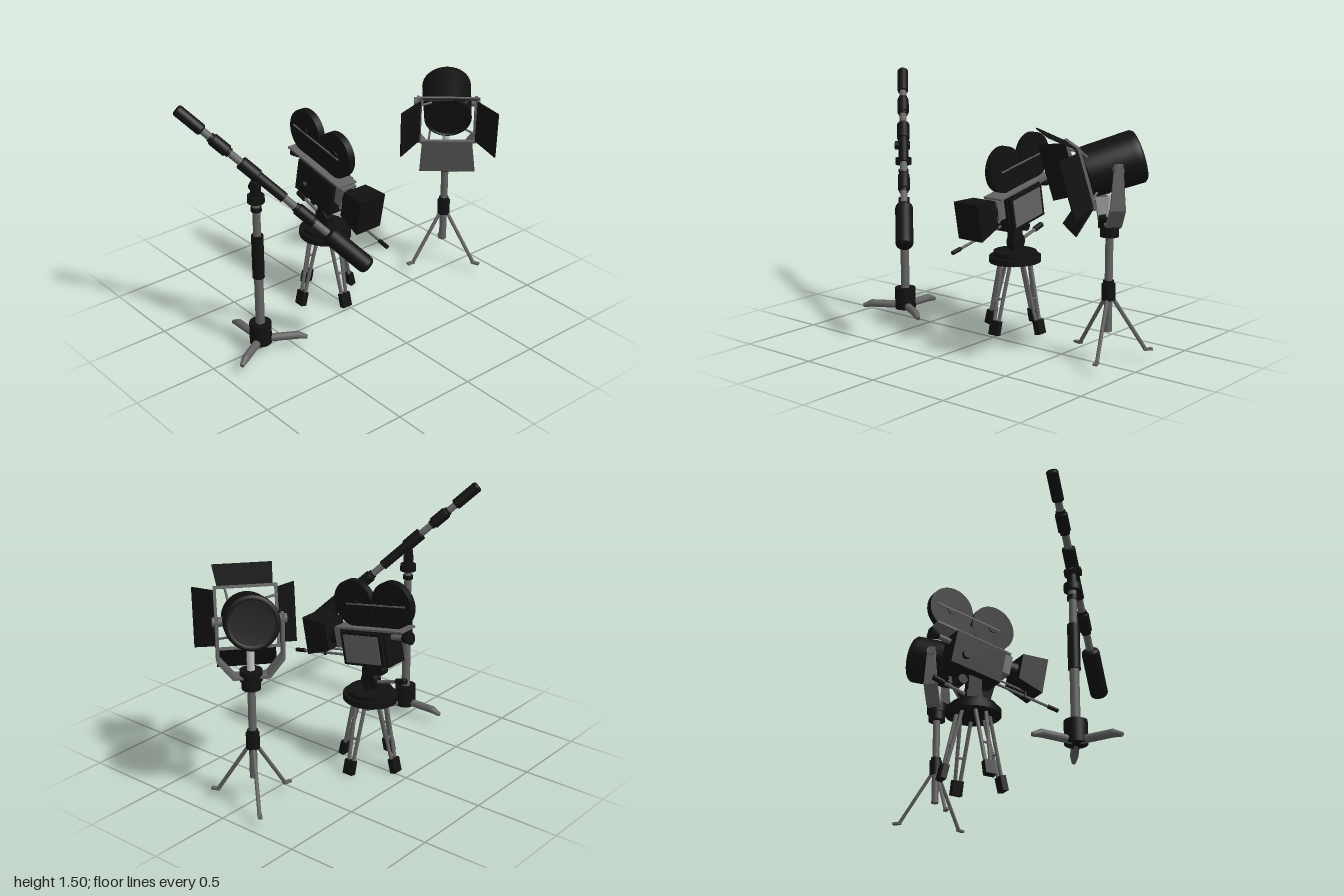
import * as THREE from 'three';

const mat = (name, color) => {
  const m = new THREE.MeshStandardMaterial({ color });
  m.name = name;
  return m;
};
const V = (x, y, z) => new THREE.Vector3(x, y, z);

export function createModel() {
  const black = mat('black', 0x111111);
  const grey = mat('grey', 0x626262);
  const pale = mat('paleMetal', 0xc4c4c4);

  const group = (parent, name, x = 0, y = 0, z = 0) => {
    const g = new THREE.Group();
    g.name = name;
    g.position.set(x, y, z);
    parent.add(g);
    return g;
  };
  const add = (parent, name, geo, m, x = 0, y = 0, z = 0) => {
    const mesh = new THREE.Mesh(geo, m);
    mesh.name = name;
    mesh.position.set(x, y, z);
    parent.add(mesh);
    return mesh;
  };
  const box = (parent, name, m, w, h, d, x, y, z) =>
    add(parent, name, new THREE.BoxGeometry(w, h, d), m, x, y, z);
  // Upright cylinder between two heights
  const post = (parent, name, m, r, y0, y1, x = 0, z = 0, r1 = r) =>
    add(parent, name, new THREE.CylinderGeometry(r1, r, y1 - y0, 28), m, x, (y0 + y1) / 2, z);
  // Cylinder from point a to point b
  const rod = (parent, name, m, a, b, r0, r1 = r0, sides = 20) => {
    const dir = b.clone().sub(a);
    const mid = a.clone().add(b).multiplyScalar(0.5);
    const mesh = add(parent, name, new THREE.CylinderGeometry(r1, r0, dir.length(), sides), m, mid.x, mid.y, mid.z);
    mesh.quaternion.setFromUnitVectors(V(0, 1, 0), dir.normalize());
    return mesh;
  };
  // Cylinder with softened ends from a to b
  const grip = (parent, name, m, a, b, r, soft) => {
    const dir = b.clone().sub(a), h = dir.length(), pts = [new THREE.Vector2(0, 0)];
    for (let i = 0; i <= 4; i++) {
      const t = (i / 4) * Math.PI / 2;
      pts.push(new THREE.Vector2(r - soft + soft * Math.sin(t), soft - soft * Math.cos(t)));
    }
    for (let i = 4; i >= 0; i--) pts.push(new THREE.Vector2(pts[i + 1].x, h - pts[i + 1].y));
    pts.push(new THREE.Vector2(0, h));
    const mesh = add(parent, name, new THREE.LatheGeometry(pts, 24), m, a.x, a.y, a.z);
    mesh.quaternion.setFromUnitVectors(V(0, 1, 0), dir.normalize());
    return mesh;
  };

  const model = new THREE.Group();
  model.name = 'filmSet';

  // ---- Boom microphone on its stand ----
  const mic = group(model, 'boomMicrophone', -0.685, 0, 0.022);
  post(mic, 'baseHub', black, 0.063, 0.06, 0.19);
  for (let i = 0; i < 3; i++) {
    const leg = group(mic, 'baseLeg');
    leg.rotation.y = Math.PI + i * Math.PI * 2 / 3;
    rod(leg, 'legTube', grey, V(0, 0.08, 0.03), V(0, 0.08, 0.21), 0.023);
    add(leg, 'legBend', new THREE.SphereGeometry(0.023, 16, 10), grey, 0, 0.08, 0.21);
    rod(leg, 'legTip', grey, V(0, 0.08, 0.21), V(0, 0.062, 0.265), 0.023, 0.012);
  }
  post(mic, 'lowerPole', grey, 0.026, 0.19, 0.49);
  post(mic, 'poleGrip', black, 0.034, 0.485, 0.75);
  post(mic, 'upperPole', grey, 0.022, 0.75, 0.96);
  post(mic, 'poleRing', black, 0.03, 0.9, 0.925);
  post(mic, 'poleHead', black, 0.048, 0.955, 0.995);
  post(mic, 'clampNeck', black, 0.03, 0.995, 1.05);
  post(mic, 'clampStem', grey, 0.02, 1.05, 1.12);
  rod(mic, 'clampKnob', black, V(-0.04, 1.07, 0.03), V(0.03, 1.07, -0.025), 0.026);

  const boom = group(model, 'boomArm');
  const top = V(-0.955, 1.465, -0.265), end = V(-0.27, 0.6, 0.46);
  const at = t => top.clone().lerp(end, t);
  rod(boom, 'boomTube', grey, at(0.03), at(0.85), 0.021);
  grip(boom, 'counterGrip', black, at(-0.015), at(0.12), 0.033, 0.012);
  for (const t of [0.17, 0.62]) {
    grip(boom, 'boomJoint', black, at(t), at(t + 0.08), 0.035, 0.006);
    rod(boom, 'jointCollar', black, at(t - 0.012), at(t + 0.092), 0.027);
  }
  rod(boom, 'clampSleeve', black, at(0.33), at(0.55), 0.029);
  grip(boom, 'clampCollar', black, at(0.32), at(0.41), 0.037, 0.006);
  grip(boom, 'microphone', black, at(0.785), at(1.01), 0.051, 0.025);

  // ---- Film camera tripod ----
  const tripod = group(model, 'cameraTripod', -0.015, 0, -0.22);
  post(tripod, 'lowerPlate', black, 0.15, 0.417, 0.452).scale.z = 1.08;
  post(tripod, 'upperPlate', black, 0.129, 0.45, 0.48);
  for (let i = 0; i < 4; i++) {
    const leg = group(tripod, 'tripodLeg');
    leg.rotation.y = i * Math.PI / 2;
    for (const s of [-1, 1])
      rod(leg, 'legRod', grey, V(s * 0.034, 0.43, 0.085), V(s * 0.015, 0.06, 0.177), 0.011, 0.011, 10);
    rod(leg, 'legBrace', grey, V(-0.023, 0.21, 0.14), V(0.023, 0.21, 0.14), 0.007, 0.007, 8);
    const foot = box(leg, 'foot', black, 0.064, 0.086, 0.036, 0, 0.045, 0.184);
    foot.rotation.x = -0.24;
  }
  post(tripod, 'headBase', black, 0.032, 0.475, 0.53);
  rod(tripod, 'tiltDrum', black, V(-0.028, 0.535, -0.005), V(0.028, 0.535, -0.005), 0.052, 0.052, 28);
  box(tripod, 'headNeck', black, 0.045, 0.1, 0.085, 0, 0.6, 0);
  rod(tripod, 'tiltKnob', black, V(-0.025, 0.617, -0.08), V(0.025, 0.617, -0.08), 0.028);
  rod(tripod, 'knobArm', black, V(0, 0.617, -0.03), V(0, 0.617, -0.08), 0.015);
  rod(tripod, 'panHandle', grey, V(0, 0.53, -0.03), V(0, 0.58, -0.2), 0.01);
  grip(tripod, 'panGrip', black, V(0, 0.576, -0.185), V(0, 0.597, -0.255), 0.017, 0.005);

  // ---- Film camera, pitched slightly down ----
  const cam = group(model, 'filmCamera', -0.015, 0.752, -0.227);
  cam.rotation.x = 0.19;
  box(cam, 'body', black, 0.145, 0.205, 0.32, -0.005, 0, 0);
  box(cam, 'sideDoor', black, 0.022, 0.195, 0.29, 0.077, 0, 0);
  box(cam, 'doorPanel', grey, 0.006, 0.165, 0.25, 0.089, 0, 0);
  box(cam, 'topPlate', grey, 0.13, 0.012, 0.48, 0, 0.11, -0.04);
  for (const z of [-0.2, 0.075]) {
    rod(cam, 'filmMagazine', black, V(-0.022, 0.249, z), V(0.022, 0.249, z), 0.136, 0.136, 48);
    rod(cam, 'magazineHub', black, V(-0.027, 0.249, z), V(0.027, 0.249, z), 0.03);
  }
  box(cam, 'magazineMount', black, 0.04, 0.1, 0.2, 0, 0.15, -0.06);
  for (const s of [-1, 1]) box(cam, 'magazineBar', grey, 0.006, 0.008, 0.42, s * 0.027, 0.247, -0.09);
  // Lens, matte box and support rods
  box(cam, 'lensMount', grey, 0.1, 0.12, 0.07, 0, 0.045, 0.185);
  rod(cam, 'lens', black, V(0, 0.045, 0.2), V(0, 0.05, 0.3), 0.048, 0.055, 28);
  const hood = new THREE.BoxGeometry(0.176, 0.225, 0.16);
  const hp = hood.attributes.position;
  for (let i = 0; i < hp.count; i++) if (hp.getZ(i) < 0) hp.setXY(i, hp.getX(i) * 0.92, hp.getY(i) * 0.72);
  hood.computeVertexNormals();
  add(cam, 'matteBox', hood, black, -0.005, 0.05, 0.345);
  rod(cam, 'supportRod', grey, V(0, -0.074, 0.1), V(0, -0.074, 0.54), 0.008, 0.008, 10);
  grip(cam, 'supportRodGrip', black, V(0, -0.074, 0.52), V(0, -0.074, 0.592), 0.012, 0.004);
  rod(cam, 'matteRod', grey, V(0, -0.045, 0.14), V(0, -0.045, 0.4), 0.006, 0.006, 10);
  box(cam, 'rodBracket', black, 0.025, 0.07, 0.012, 0, -0.05, 0.36);
  // Eyepiece and side knob
  rod(cam, 'eyepieceTube', grey, V(0, 0.059, -0.15), V(0, 0.059, -0.25), 0.016);
  rod(cam, 'eyepieceCup', black, V(0, 0.059, -0.235), V(0, 0.059, -0.292), 0.018, 0.036);
  rod(cam, 'sideKnob', black, V(-0.075, -0.03, -0.08), V(-0.1, -0.03, -0.08), 0.025);

  // ---- Studio light stand ----
  const stand = group(model, 'lightStand', 0.786, 0, -0.04);
  post(stand, 'pole', grey, 0.022, 0.18, 0.72);
  post(stand, 'collar', black, 0.038, 0.36, 0.45);
  post(stand, 'collarTop', black, 0.03, 0.45, 0.47);
  for (let i = 0; i < 3; i++) {
    const leg = group(stand, 'standLeg');
    leg.rotation.y = (170 + i * 120) * Math.PI / 180;
    rod(leg, 'legBar', grey, V(0.02, 0.375, 0), V(0.215, 0.068, 0), 0.011, 0.011, 8);
    box(leg, 'legToe', grey, 0.05, 0.012, 0.024, 0.232, 0.064, 0);
  }
  post(stand, 'headSocket', black, 0.052, 0.715, 0.77);
  post(stand, 'headBlock', black, 0.062, 0.765, 0.825);
  post(stand, 'spigot', pale, 0.021, 0.82, 0.945);

  // ---- Yoke: a U profile, narrower toward the pivots ----
  const head = group(model, 'lightHead', 0.786, 1.11, -0.04);
  head.rotation.y = -0.72;
  const outer = [[0.182, 0.03], [0.182, -0.22], [0.1, -0.325]];
  const inner = [[0.085, -0.31], [0.166, -0.21], [0.166, 0.03]];
  const pts = [...outer, ...outer.map(([x, y]) => [-x, y]).reverse(),
    ...inner.map(([x, y]) => [-x, y]).reverse(), ...inner];
  const yokeGeo = new THREE.ExtrudeGeometry(
    new THREE.Shape(pts.map(p => new THREE.Vector2(...p))), { depth: 1, bevelEnabled: false });
  const yp = yokeGeo.attributes.position;
  for (let i = 0; i < yp.count; i++)
    yp.setZ(i, (yp.getZ(i) - 0.5) * (yp.getY(i) > 0 ? 0.045 : 0.085));
  yokeGeo.computeVertexNormals();
  add(head, 'yoke', yokeGeo, grey);

  // ---- Lamp housing, pitched down ----
  const lamp = group(head, 'lamp');
  lamp.rotation.x = 0.28;
  const profile = [[0, -0.155], [0.118, -0.155], [0.122, -0.162], [0.138, -0.162], [0.147, -0.15],
    [0.147, -0.12], [0.14, 0.15], [0.13, 0.15], [0.13, 0.135], [0, 0.14]];
  const shellGeo = new THREE.LatheGeometry(profile.map(p => new THREE.Vector2(...p)), 48);
  add(lamp, 'housing', shellGeo, black).rotation.x = Math.PI / 2;
  for (const s of [-1, 1])
    rod(lamp, 'pivotKnob', grey, V(s * 0.135, 0, 0), V(s * 0.197, 0, 0), 0.026);

  // Square frame and four flared barn doors, one per quarter turn
  const half = 0.165, flare = 0.71;
  const doorShape = new THREE.Shape([[-0.15, 0.008], [0.15, 0.008], [0.165, 0.178], [-0.165, 0.178]]
    .map(p => new THREE.Vector2(...p)));
  for (let i = 0; i < 4; i++) {
    const side = group(lamp, 'barnDoorSide');
    side.rotation.z = i * Math.PI / 2;
    box(side, 'frameBar', grey, half * 2 + 0.016, 0.016, 0.016, 0, half, 0.172);
    rod(side, 'frameBracket', grey, V(0.11, half, 0.17), V(0.1, 0.1, 0.13), 0.007, 0.007, 8);
    const door = add(side, 'barnDoor',
      new THREE.ExtrudeGeometry(doorShape, { depth: 0.008, bevelEnabled: false }), black, 0, half, 0.174);
    door.rotation.x = Math.PI / 2 - flare;
  }
  return model;
}
